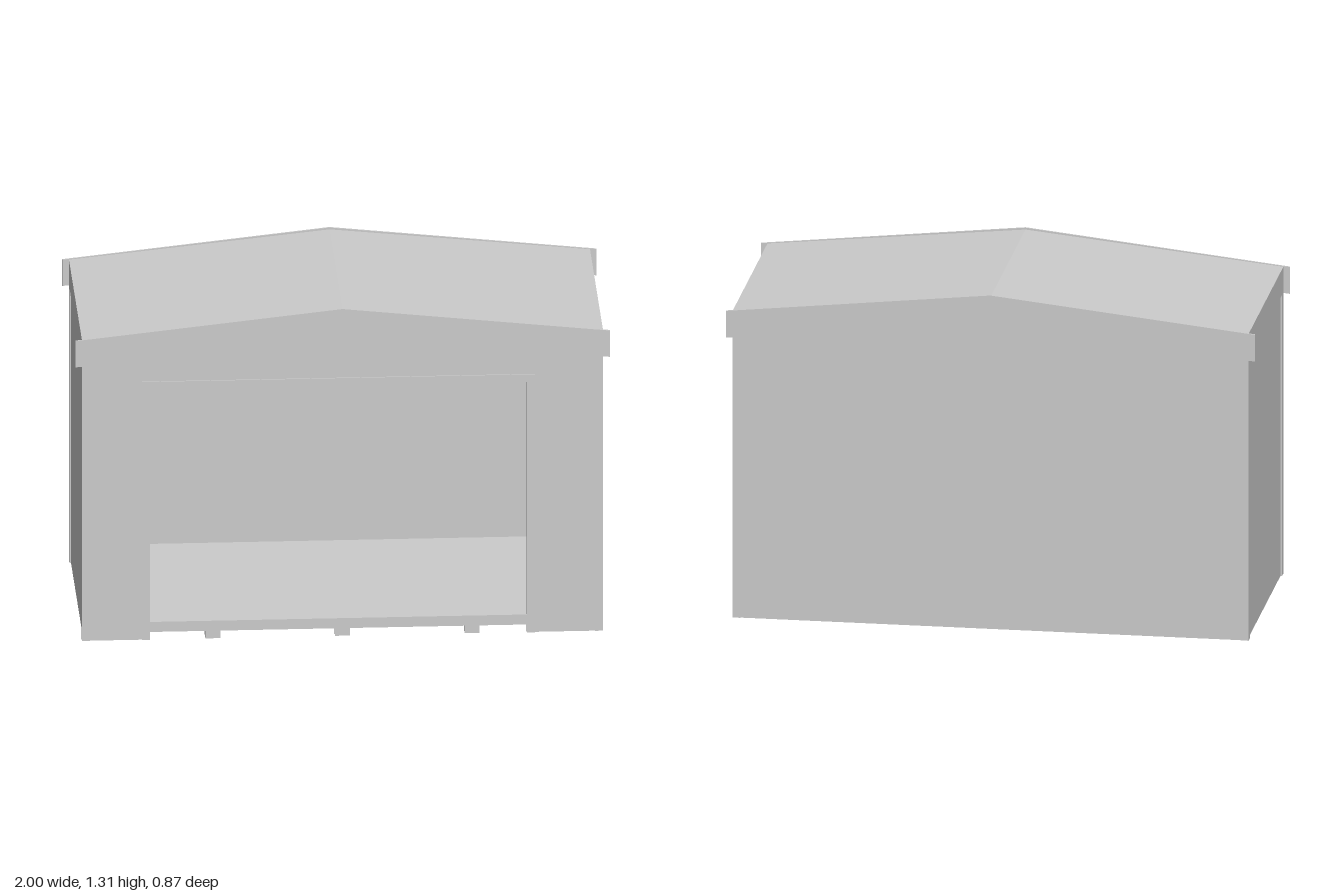
import * as THREE from 'three';

const material = new THREE.MeshStandardMaterial({ color: 0xcccccc, flatShading: true });

export function createModel() {
  const model = new THREE.Group();
  const W = 0.975, D = 0.43, T = 0.03;

  function add(name, geometry) {
    const mesh = new THREE.Mesh(geometry, material);
    mesh.name = name;
    model.add(mesh);
  }

  // Box given by its lower and upper limits on each axis
  function box(name, x0, x1, y0, y1, z0, z1) {
    const g = new THREE.BoxGeometry(x1 - x0, y1 - y0, z1 - z0);
    g.translate((x0 + x1) / 2, (y0 + y1) / 2, (z0 + z1) / 2);
    add(name, g);
  }

  // Outline in x and y, extruded from z0 to z1
  function slab(name, points, z0, z1) {
    const shape = new THREE.Shape(points.map(([x, y]) => new THREE.Vector2(x, y)));
    const g = new THREE.ExtrudeGeometry(shape, { depth: z1 - z0, bevelEnabled: false });
    g.translate(0, 0, z0);
    add(name, g);
  }

  // Bent band following the pitch of the roof
  const band = (w, edge, peak, h) => [
    [-w, edge - h], [0, peak - h], [w, edge - h], [w, edge], [0, peak], [-w, edge],
  ];

  // Floor, recessed between the walls, with small feet along the front
  box('floor', -0.945, 0.945, 0.03, 0.07, -0.4, 0.4);
  box('floorSill', -0.72, 0.69, 0.03, 0.07, 0.4, 0.428);
  for (const x of [-0.485, 0, 0.485]) box('foot', x - 0.028, x + 0.028, 0, 0.03, 0.38, 0.428);

  // Corner posts
  for (const sx of [-1, 1]) for (const sz of [-1, 1]) {
    const x = sx * (W - T / 2), z = sz * (D - T / 2);
    box('cornerPost', x - T / 2, x + T / 2, 0, 1.1, z - T / 2, z + T / 2);
  }

  // Side walls, set slightly behind the posts
  for (const s of [-1, 1]) {
    const x = s * 0.957;
    box('sideWall', x - 0.012, x + 0.012, 0, 1.1, -0.4, 0.4);
  }

  // Back wall and its gable
  box('backWall', -0.945, 0.945, 0, 1.1, -0.427, -0.4);
  const gable = [[-0.945, 1.1], [0.945, 1.1], [0, 1.2]];
  slab('backGable', gable, -0.429, -0.4);

  // Front wall with a wide doorway open to the ground
  slab('frontWall', [
    [-0.945, 0], [-0.72, 0], [-0.72, 1], [0.69, 1], [0.69, 0],
    [0.945, 0], [0.945, 1.1], [0, 1.2], [-0.945, 1.1],
  ], 0.4, 0.428);

  // Flat trim around the doorway
  slab('doorTrim', [
    [-0.75, 0], [-0.72, 0], [-0.72, 1], [0.69, 1], [0.69, 0],
    [0.72, 0], [0.72, 1.03], [-0.75, 1.03],
  ], 0.428, 0.433);

  // Pitched roof, with fascia boards at front and back
  slab('roof', band(W, 1.2, 1.3, 0.1), -D, D);
  slab('frontFascia', band(1, 1.2, 1.307, 0.105), 0.43, 0.437);
  slab('backFascia', band(1, 1.2, 1.307, 0.105), -0.437, -0.43);

  return model;
}
